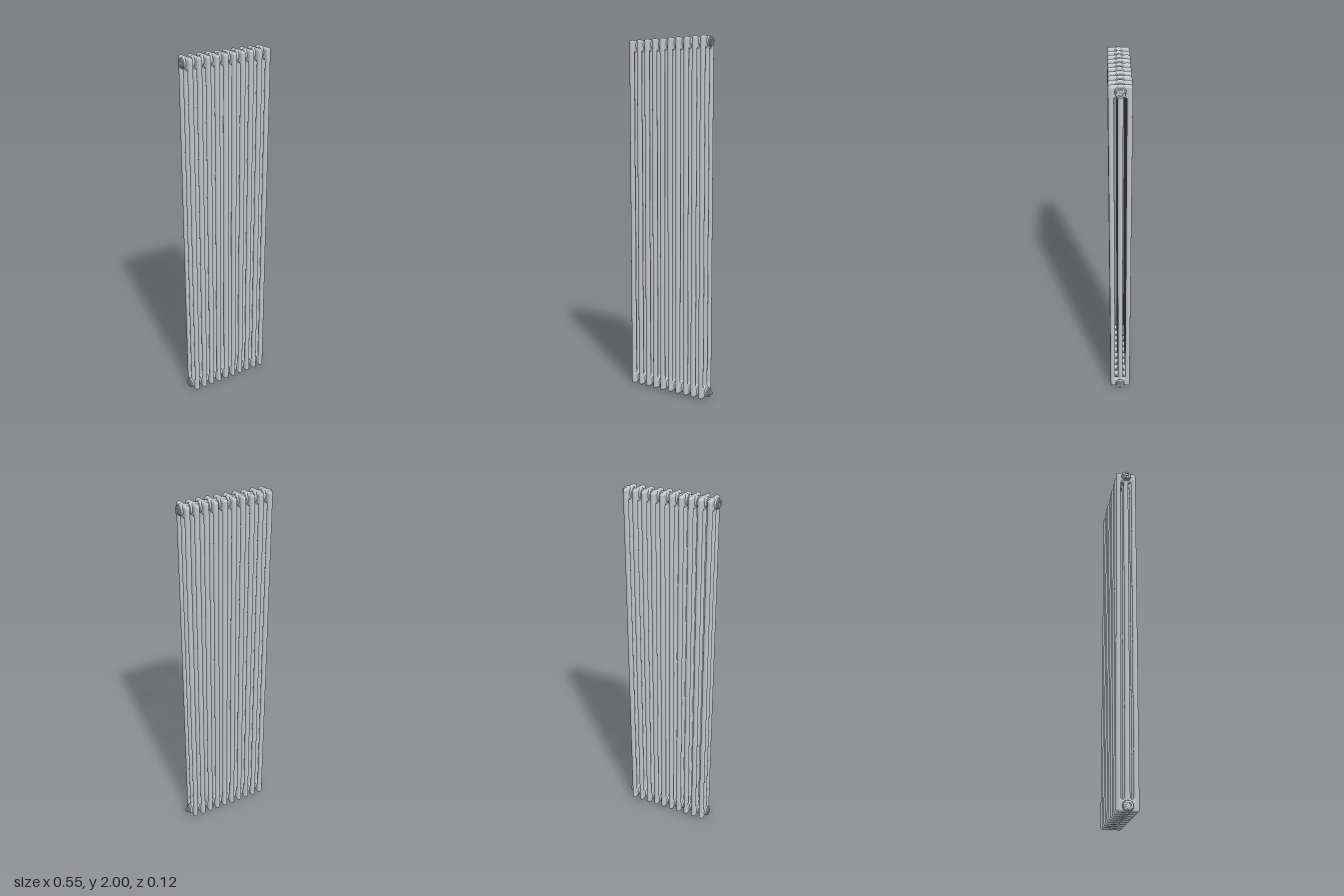
import * as THREE from 'three';
import { toCreasedNormals } from 'three/addons/utils/BufferGeometryUtils.js';
import { RoundedBoxGeometry } from 'three/addons/geometries/RoundedBoxGeometry.js';

const SECTIONS = 10, PITCH = 0.0512, FIRST_X = -0.239;
const TUBE = 0.0138, COLUMN_Z = 0.0445;
const HEAD_H = 0.064, HUB_Y = 0.03;

// Turned part whose axis runs along +x; profile pairs are [radius, x]
function turned(profile, segments = 28) {
  const geometry = new THREE.LatheGeometry(profile.map(([r, x]) => new THREE.Vector2(r, x)), segments);
  geometry.rotateZ(-Math.PI / 2);
  return toCreasedNormals(geometry, 0.6);
}

export function createModel() {
  const paint = new THREE.MeshStandardMaterial({ color: 0xc2c4c7 });
  paint.name = 'light grey enamel';

  const add = (parent, name, geometry, x = 0, y = 0, z = 0) => {
    const mesh = new THREE.Mesh(geometry, paint);
    mesh.name = name;
    mesh.position.set(x, y, z);
    parent.add(mesh);
    return mesh;
  };

  // Shared geometries
  const column = new THREE.CylinderGeometry(TUBE, TUBE, 1.9, 20, 1, true);
  const head = new RoundedBoxGeometry(TUBE * 2, HEAD_H, (COLUMN_Z + TUBE) * 2, 5, TUBE);
  const arch = new THREE.TorusGeometry(COLUMN_Z / 2, TUBE, 14, 16, Math.PI);
  arch.rotateY(Math.PI / 2);
  const hub = turned([
    [0.0225, -0.0256], [0.0245, -0.0248], [0.0265, -0.0235], [0.0268, -0.019],
    [0.0275, -0.0155], [0.0292, -0.0125], [0.0292, 0.0125], [0.0275, 0.0155],
    [0.0268, 0.019], [0.0265, 0.0235], [0.0245, 0.0248], [0.0225, 0.0256],
  ]);
  const cap = turned([
    [0.0245, 0], [0.0245, 0.003], [0.0225, 0.0045], [0.019, 0.0045],
    [0.019, 0.0085], [0.0175, 0.0095], [0.0125, 0.0095], [0.0115, 0.005], [0, 0.005],
  ]);
  const lug = new THREE.BoxGeometry(0.005, 0.005, 0.006);
  const socket = new THREE.CylinderGeometry(0.007, 0.007, 0.004, 6);
  socket.rotateZ(-Math.PI / 2);
  const vent = turned([
    [0.015, 0], [0.015, 0.004], [0.0115, 0.006], [0.0115, 0.009],
    [0.007, 0.012], [0.0045, 0.012], [0.0045, 0.017], [0, 0.017],
  ], 20);

  const model = new THREE.Group();
  model.name = 'columnRadiator';

  // One section: three columns joined by a header at each end
  for (let i = 0; i < SECTIONS; i++) {
    const section = new THREE.Group();
    section.name = `section${i + 1}`;
    section.position.x = FIRST_X + i * PITCH;
    model.add(section);
    for (const z of [-COLUMN_Z, 0, COLUMN_Z]) add(section, 'column', column, 0, 1, z);
    for (const top of [false, true]) {
      const level = (y) => (top ? 2 - y : y);
      add(section, 'head', head, 0, level(HEAD_H / 2), 0);
      add(section, 'hub', hub, 0, level(HUB_Y), 0);
      // Rounded ends of the two slots between columns
      for (const side of [-1, 1]) {
        const bend = add(section, 'slotArch', arch, 0, level(0.0725), side * COLUMN_Z / 2);
        if (!top) bend.rotation.x = Math.PI;
      }
    }
  }

  // End plugs on both ends of both headers
  const endOffset = 0.0245;
  const lastX = FIRST_X + (SECTIONS - 1) * PITCH;
  for (const y of [HUB_Y, 2 - HUB_Y]) {
    for (const side of [-1, 1]) {
      const plug = new THREE.Group();
      plug.name = 'endPlug';
      plug.position.set(side > 0 ? lastX + endOffset : FIRST_X - endOffset, y, 0);
      if (side < 0) plug.rotation.y = Math.PI;
      model.add(plug);
      add(plug, 'plugBody', cap);
      add(plug, 'plugSocket', socket, 0.0055, 0, 0);
      for (let k = 0; k < 8; k++) {
        const a = (k / 8) * Math.PI * 2;
        add(plug, 'plugLug', lug, 0.006, Math.cos(a) * 0.0195, Math.sin(a) * 0.0195).rotation.x = a;
      }
      // Drain valve on the lower left end
      if (side > 0 && y < 1) add(plug, 'drainValve', vent, 0.0095, 0, 0);
    }
  }
  return model;
}
